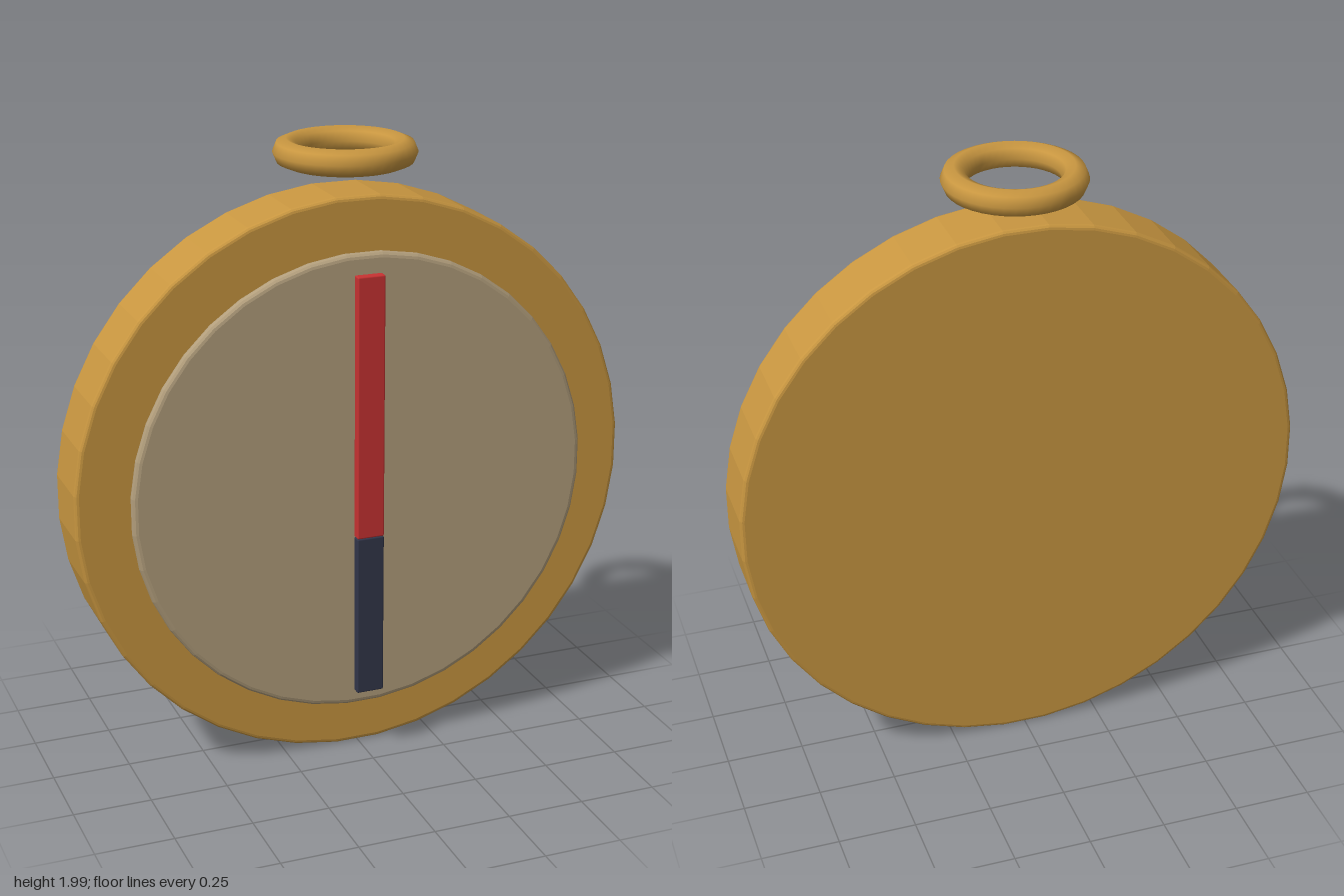
import * as THREE from 'three';
import { RoundedBoxGeometry } from 'three/addons/geometries/RoundedBoxGeometry.js';

const CENTER_Y = 0.924;

function addPart(group, name, geometry, color, y, z, flatShading = false) {
  const material = new THREE.MeshStandardMaterial({ color, flatShading });
  const mesh = new THREE.Mesh(geometry, material);
  mesh.name = name;
  mesh.position.set(0, y, z);
  group.add(mesh);
  return mesh;
}

// Solid disc with a rounded rim, facing +z
function discGeometry(radius, depth, bevel, sides) {
  const h = depth / 2;
  const points = [new THREE.Vector2(0, -h)];
  for (const [sign, start] of [[-1, -Math.PI / 2], [1, 0]]) {
    for (let i = 0; i <= 3; i++) {
      const a = start + (i / 3) * (Math.PI / 2);
      points.push(new THREE.Vector2(
        radius - bevel + bevel * Math.cos(a),
        sign * (h - bevel) + bevel * Math.sin(a)));
    }
  }
  points.push(new THREE.Vector2(0, h));
  return new THREE.LatheGeometry(points, sides, Math.PI / sides).rotateX(Math.PI / 2);
}

export function createModel() {
  const model = new THREE.Group();
  model.name = 'compass';
  const brass = 0xc89640;

  // Case and the dial floating just in front of it
  addPart(model, 'case', discGeometry(0.92, 0.225, 0.014, 40), brass, CENTER_Y, 0, true);
  addPart(model, 'dial', discGeometry(0.755, 0.038, 0.017, 40), 0xb29e7c, CENTER_Y, 0.149, true);

  // Needle: long red half above, dark half below
  const halves = [
    ['needleNorth', 0xc83232, 0.77, 1.62],
    ['needleSouth', 0x32364a, 0.235, 0.77],
  ];
  for (const [name, color, bottom, top] of halves) {
    addPart(model, name, new RoundedBoxGeometry(0.09, top - bottom, 0.031, 2, 0.005),
      color, (bottom + top) / 2, 0.207);
  }

  // Hanging ring lying flat above the case
  addPart(model, 'hangingRing',
    new THREE.TorusGeometry(0.181, 0.042, 8, 40).rotateX(Math.PI / 2), brass, 1.958, 0);

  return model;
}
